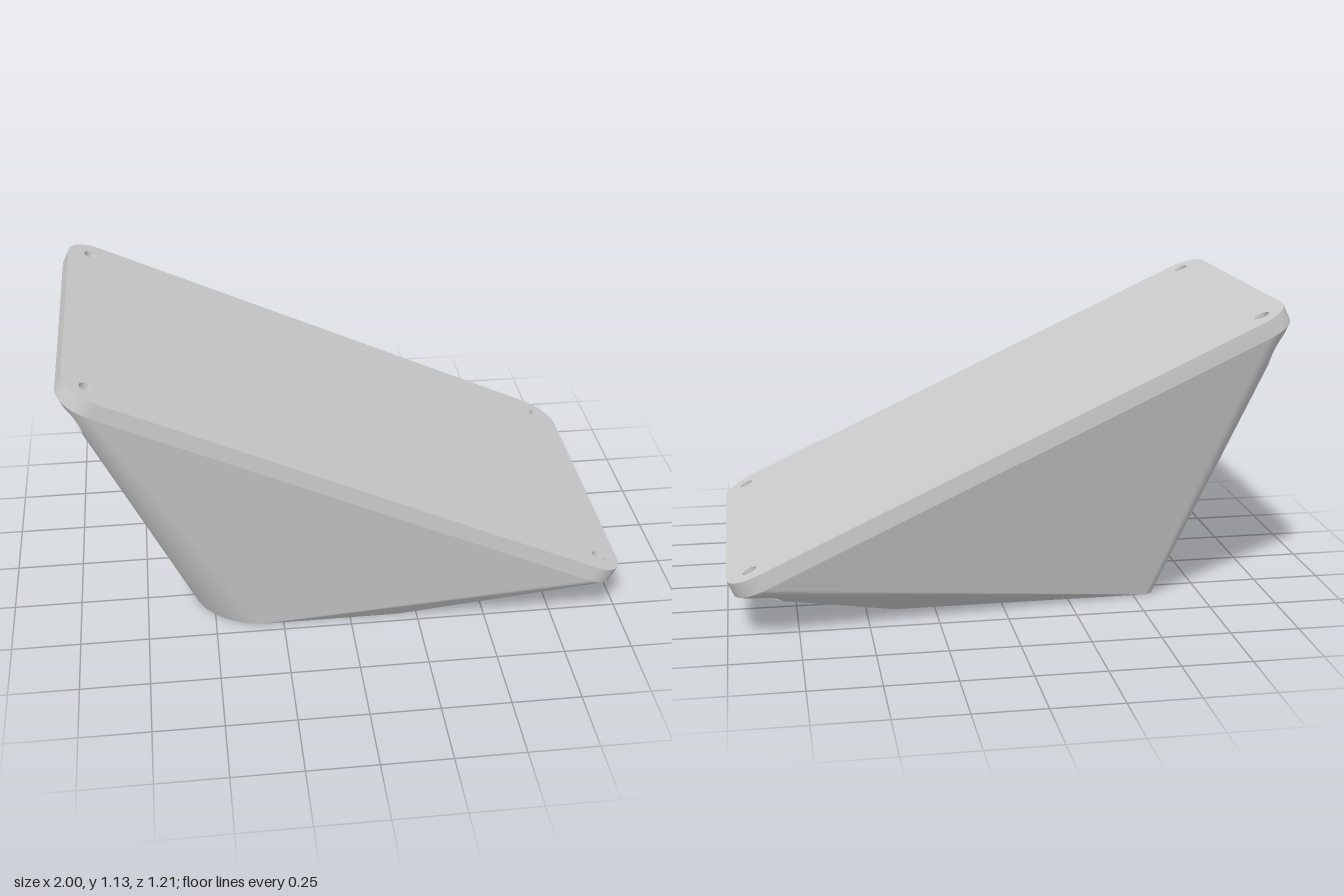
import * as THREE from 'three';
import { ConvexGeometry } from 'three/addons/geometries/ConvexGeometry.js';

const TILT = THREE.MathUtils.degToRad(25);
const HALF_L = 1.087, HALF_W = 0.606, THICK = 0.06;
const HOLE_R = 0.026, BORE_R = 0.05, HOLE_INSET = 0.09;
const CENTRE = new THREE.Vector3(-0.0125, 0.6115, 0); // middle of the plate's underside
const ALONG = new THREE.Vector3(Math.cos(TILT), -Math.sin(TILT), 0);
const NORMAL = new THREE.Vector3(Math.sin(TILT), Math.cos(TILT), 0);

// Plate coordinates (s along the slope, t along its normal, z) to model space
const toModel = (s, t, z) =>
  CENTRE.clone().addScaledVector(ALONG, s).addScaledVector(NORMAL, t).add(new THREE.Vector3(0, 0, z));

// Rounded rectangle in plan (shape y is -z), with own radii for front and back corners
function planShape(x0, x1, front, back, rFront, rBack) {
  const s = new THREE.Shape();
  s.absarc(x1 - rFront, -front + rFront, rFront, -Math.PI / 2, 0);
  s.absarc(x1 - rBack, -back - rBack, rBack, 0, Math.PI / 2);
  s.absarc(x0 + rBack, -back - rBack, rBack, Math.PI / 2, Math.PI);
  s.absarc(x0 + rFront, -front + rFront, rFront, Math.PI, Math.PI * 1.5);
  s.closePath();
  return s;
}

function fromPoints(points) {
  const g = new THREE.BufferGeometry().setFromPoints(points);
  g.computeVertexNormals();
  return g;
}

// Closed band between two rings of equal length
function band(a, b) {
  const pts = [];
  a.forEach((p, i) => {
    const j = (i + 1) % a.length;
    pts.push(p, a[j], b[j], p, b[j], b[i]);
  });
  return fromPoints(pts);
}

const plateShape = () => planShape(-HALF_L, HALF_L, HALF_W, -HALF_W, 0.12, 0.12);
const baseShape = () => planShape(-0.58, 0.43, 0.46, -0.34, 0.27, 0.04);
const cavityShape = () => planShape(-0.52, 0.37, 0.4, -0.28, 0.21, 0.02);

const holes = [];
for (const sx of [-1, 1]) for (const sz of [-1, 1])
  holes.push({ s: sx * (HALF_L - HOLE_INSET), z: sz * (HALF_W - HOLE_INSET) });

// Sloping sides: hull between plate and base, opened where the screw bores break out
function buildSides() {
  const corners = [
    ...plateShape().getPoints(8).map(p => toModel(p.x, 0, -p.y)),
    ...baseShape().getPoints(8).map(p => new THREE.Vector3(p.x, 0, -p.y)),
  ];
  const pos = new ConvexGeometry(corners).attributes.position;
  const depth = p => p.clone().sub(CENTRE).dot(NORMAL);
  const faces = [], planes = [];
  for (let i = 0; i < pos.count; i += 3) {
    const f = [0, 1, 2].map(k => new THREE.Vector3().fromBufferAttribute(pos, i + k));
    if (f.every(p => Math.abs(depth(p)) < 1e-4) || f.every(p => p.y < 1e-4)) continue;
    if (new THREE.Triangle(...f).getArea() < 1e-8) continue;
    faces.push(f);
    planes.push(new THREE.Plane().setFromCoplanarPoints(...f));
  }

  // Point where a line running down from the plate leaves the hull
  const exit = (s, z) => {
    const o = toModel(s, 0, z);
    let t = Infinity;
    for (const pl of planes) {
      const d = -pl.normal.dot(NORMAL);
      if (d > 1e-6) t = Math.min(t, Math.max(0, -pl.distanceToPoint(o) / d));
    }
    return toModel(s, -t, z);
  };
  const flat = (p, h) => new THREE.Vector2(p.clone().sub(CENTRE).dot(ALONG) - h.s, p.z - h.z);

  const out = [];
  function cut(f, level) {
    const tri = new THREE.Triangle(...f), near = new THREE.Vector3();
    const hole = holes.find(h => {
      const c = exit(h.s, h.z);
      return tri.closestPointToPoint(c, near).distanceTo(c) < 0.2;
    });
    const len = [0, 1, 2].map(k => f[k].distanceTo(f[(k + 1) % 3]));
    const k = len.indexOf(Math.max(...len));
    if (hole && len[k] > 0.02 && level < 18) {
      const a = f[k], b = f[(k + 1) % 3], c = f[(k + 2) % 3];
      const m = a.clone().lerp(b, 0.5);
      cut([a, m, c], level + 1);
      cut([m, b, c], level + 1);
      return;
    }
    if (hole) {
      const q = f.map(p => flat(p, hole));
      if (q.every(v => v.length() <= BORE_R)) return;
      f = f.map((p, i) => {
        if (q[i].length() >= BORE_R) return p;
        q[i].setLength(BORE_R);
        return exit(hole.s + q[i].x, hole.z + q[i].y);
      });
    }
    out.push(...f);
  }
  faces.forEach(f => cut(f, 0));
  return { geometry: fromPoints(out), exit };
}

export function createModel() {
  const model = new THREE.Group();
  const grey = new THREE.MeshStandardMaterial({ color: 0xcccccc });
  const open = new THREE.MeshStandardMaterial({ color: 0xcccccc, side: THREE.DoubleSide });
  const add = (name, geometry, material = grey) => {
    const mesh = new THREE.Mesh(geometry, material);
    mesh.name = name;
    model.add(mesh);
    return mesh;
  };

  // Tilted top plate with four screw holes
  const shape = plateShape();
  for (const h of holes) {
    const path = new THREE.Path();
    path.absarc(h.s, -h.z, HOLE_R, 0, Math.PI * 2, true);
    shape.holes.push(path);
  }
  const plate = new THREE.ExtrudeGeometry(shape, { depth: THICK, bevelEnabled: false, curveSegments: 10 });
  plate.rotateX(-Math.PI / 2).rotateZ(-TILT).translate(CENTRE.x, CENTRE.y, 0);
  add('topPlate', plate);

  // Body sides and the wide screw bores below the plate
  const sides = buildSides();
  add('bodySides', sides.geometry, open);
  for (const h of holes) {
    const top = [], bottom = [];
    for (let i = 0; i < 32; i++) {
      const a = (i / 32) * Math.PI * 2;
      const s = h.s + BORE_R * Math.cos(a), z = h.z + BORE_R * Math.sin(a);
      top.push(toModel(s, 0, z));
      bottom.push(sides.exit(s, z));
    }
    add('screwBore', band(top, bottom), open);
  }

  // Base rim around the cavity
  const rim = baseShape();
  rim.holes.push(cavityShape());
  add('baseRim', new THREE.ShapeGeometry(rim, 8).rotateX(-Math.PI / 2), open);

  // Cavity walls and ceiling
  const ring = y => cavityShape().getPoints(8).map(p => new THREE.Vector3(p.x, y, -p.y));
  add('cavityWall', band(ring(0), ring(0.3)), open);
  add('cavityCeiling', new THREE.ShapeGeometry(cavityShape(), 8).rotateX(-Math.PI / 2).translate(0, 0.3, 0), open);

  // Tab across the back of the opening, leaving a slot at each end
  add('baseTab', new THREE.BoxGeometry(0.76, 0.04, 0.32)).position.set(-0.06, 0.02, -0.12);

  return model;
}
